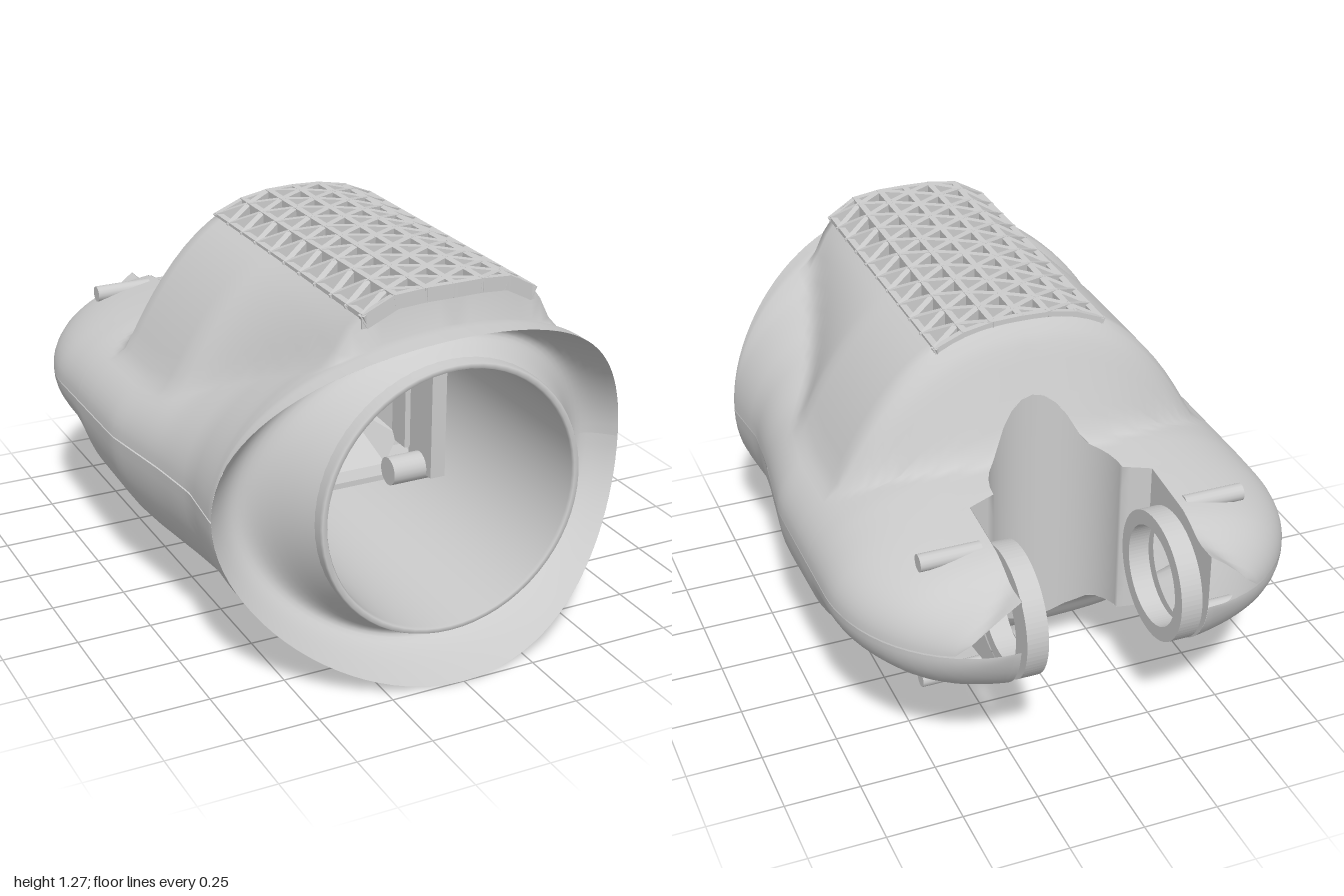
import * as THREE from 'three';
import { mergeGeometries, mergeVertices } from 'three/addons/utils/BufferGeometryUtils.js';

const MID = 0.58;
const mat = new THREE.MeshStandardMaterial({ color: 0xcccccc, side: THREE.DoubleSide });

// Piecewise-linear lookup through [z, value] pairs
function table(pairs, z) {
  if (z <= pairs[0][0]) return pairs[0][1];
  for (let i = 1; i < pairs.length; i++) {
    const [a, va] = pairs[i - 1], [b, vb] = pairs[i];
    if (z <= b) return va + (vb - va) * (z - a) / (b - a);
  }
  return pairs[pairs.length - 1][1];
}
const arc = (v) => Math.sqrt(Math.max(0, 1 - v * v));
const smax = (a, b, k) => Math.max(a, b) + Math.max(k - Math.abs(a - b), 0) ** 2 / (4 * k);

// Half width, slot edge, heights above and below the seam, along the length
const width = (z) => z < -0.5 ? 0.31 + 0.455 * arc((z + 0.5) / 0.5)
  : table([[-0.5, 0.765], [0, 0.765], [0.3, 0.72], [0.5, 0.7], [0.7, 0.72]], z);
const slot = (z) => z > -0.33 ? 0 : z >= -0.55 ? 0.22 * arc((z + 0.55) / 0.22)
  : table([[-0.58, 0.31], [-0.55, 0.22]], z);
const tip = (z) => z < -0.75 ? arc((z + 0.75) / 0.25) : 1;
const HIGH = [[-0.75, 0.25], [-0.4, 0.285], [0, 0.29], [0.3, 0.35], [0.6, 0.47], [0.8, 0.55], [0.9, 0.57]];
const LOW = [[-0.75, 0.25], [-0.42, 0.3], [-0.36, 0.36], [-0.3, 0.455], [1, 0.58]];
const BACK = [[-0.42, 0.43], [-0.38, 0.36], [-0.33, 0.23], [-0.27, 0.07], [-0.22, 0]];
const rimZ = (x) => 1 - 0.28 * (x / 0.72) ** 2;

// Height of the upper or lower skin at a place
function skinY(x, z, upper) {
  const n = table([[0.1, 3], [0.8, 2]], z);
  const swell = Math.sqrt(Math.max(0, 1 - Math.min(1, Math.abs(x) / width(z)) ** n)) * tip(z);
  if (!upper) return MID - 0.003 - (table(LOW, z) - 0.003) * swell;
  const y = MID + 0.003 + (table(HIGH, z) - 0.003) * swell;
  if (z > 0.872) return y;
  const p = table([[0.2, 2.6], [0.87, 4.5]], z);
  return smax(y, 1.27 - 0.06 * (Math.abs(x) / 0.28) ** p - table(BACK, z), 0.03);
}
// Skin point; the front end is swept along the curved rim
function skin(x, z, upper) {
  const zz = z < 0.7 ? z : 0.7 + (z - 0.7) / 0.3 * (rimZ(x) - 0.7);
  return new THREE.Vector3(x, skinY(x, z, upper), zz);
}

// Surface from a grid of points, with optional left-out cells
function grid(nu, nv, fn, flip = false, skip = () => false) {
  const pos = [], idx = [];
  for (let j = 0; j <= nv; j++) for (let i = 0; i <= nu; i++) pos.push(...fn(i, j).toArray());
  for (let j = 0; j < nv; j++) for (let i = 0; i < nu; i++) {
    if (skip(i, j)) continue;
    const a = j * (nu + 1) + i, b = a + 1, c = a + nu + 1, d = c + 1;
    idx.push(...(flip ? [a, b, c, b, d, c] : [a, c, b, b, c, d]));
  }
  const g = new THREE.BufferGeometry();
  g.setAttribute('position', new THREE.Float32BufferAttribute(pos, 3));
  g.setIndex(idx);
  g.computeVertexNormals();
  return g;
}

// Rows along the body, close together at the arm tips and the slot end
function bodyRows() {
  const rows = [];
  const add = (a, b, n, ease = (t) => t) => {
    for (let k = 0; k < n; k++) rows.push(a + (b - a) * ease(k / n));
  };
  add(-1, -0.8, 9, (t) => 1 - Math.cos(t * Math.PI / 2));
  add(-0.8, -0.58, 5);
  add(-0.58, -0.55, 1);
  add(-0.55, -0.33, 9, (t) => Math.sin(t * Math.PI / 2));
  add(-0.33, -0.22, 6);
  add(-0.22, 0.87, 24);
  add(0.87, 0.885, 1);
  add(0.885, 1, 5);
  rows.push(1);
  return rows;
}

function shell(upper) {
  const rows = bodyRows(), inner = 6, outer = 18;
  const halves = [1, -1].map((s) => grid(inner + outer, rows.length - 1, (i, j) => {
    const z = rows[j], w = width(z), xi = Math.min(slot(z), w);
    const split = Math.min(Math.max(0.28, xi + 0.02), w);
    const x = i <= inner ? xi + (split - xi) * i / inner
      : split + (w - split) * Math.sin((i - inner) / outer * Math.PI / 2);
    const p = skin(x, z, upper);
    p.x *= s;
    return p;
  }, (s > 0) !== upper, (i, j) => upper && i < inner && rows[j] > -0.221 && rows[j] < 0.86));
  const g = mergeGeometries(halves);
  g.deleteAttribute('normal');
  const merged = mergeVertices(g, 1e-5);
  merged.computeVertexNormals();
  return merged;
}

// Triangular lattice of bars following the top of the hump
function lattice() {
  const bars = [], dx = 0.56 / 6, dz = 1.09 / 10;
  const node = (i, j) => skin(-0.28 + i * dx,
    THREE.MathUtils.clamp(-0.22 + (j + (i % 2) / 2) * dz, -0.22, 0.87), true);
  const bar = (a, b) => {
    const len = a.distanceTo(b);
    if (len < 0.01) return;
    const g = new THREE.BoxGeometry(0.022, 0.045, len + 0.012);
    const o = new THREE.Object3D();
    o.position.copy(a).add(b).multiplyScalar(0.5);
    o.lookAt(b);
    o.position.y -= 0.02;
    o.updateMatrix();
    bars.push(g.applyMatrix4(o.matrix));
  };
  for (let i = 0; i <= 6; i++) for (let j = -1; j <= 10; j++) {
    bar(node(i, j), node(i, j + 1));
    if (i === 6) continue;
    bar(node(i, j), node(i + 1, j));
    bar(node(i, j), node(i + 1, i % 2 ? j + 1 : j - 1));
  }
  return mergeGeometries(bars);
}

export function createModel() {
  const model = new THREE.Group();
  const add = (name, geo, parent = model, x = 0, y = 0, z = 0) => {
    const m = new THREE.Mesh(geo, mat);
    m.name = name;
    m.position.set(x, y, z);
    parent.add(m);
    return m;
  };
  add('upperShell', shell(true));
  add('lowerShell', shell(false));
  add('topLattice', lattice());

  // Concave collar from the rim to the mouth
  add('collarDish', grid(96, 14, (i, j) => {
    const a = i / 96 * Math.PI * 2, t = j / 14, c = Math.cos(a), s = Math.sin(a);
    const ry = s > 0 ? 0.57 : 0.58;
    return new THREE.Vector3(c * (0.72 + (0.45 - 0.72) * t), MID + s * (ry + (0.45 - ry) * t),
      rimZ(0.72 * c) * (1 - t) + 0.87 * t - 0.14 * Math.sin(Math.PI * t));
  }, true));
  const tube = [[0.455, 0.74], [0.45, 0.9], [0.445, 0.91], [0.43, 0.91], [0.425, 0.9], [0.425, -0.25]];
  add('mouthTube', new THREE.LatheGeometry(tube.map((p) => new THREE.Vector2(...p)), 64), model, 0, MID, 0)
    .rotation.x = Math.PI / 2;

  for (const s of [1, -1]) {
    const side = new THREE.Group();
    side.name = s > 0 ? 'leftArm' : 'rightArm';
    model.add(side);

    // Curved wall at the end of the slot
    add('slotWall', grid(6, 24, (i, j) => {
      const z = j < 4 ? -0.58 + 0.03 * j / 4 : -0.55 + 0.22 * Math.sin((j - 4) / 20 * Math.PI / 2);
      const x = slot(z), lo = skinY(x, z, false), hi = skinY(x, z, true);
      return new THREE.Vector3(s * x, lo + (hi - lo) * i / 6, z);
    }, s > 0), side);

    // Inner face of the arm, with a round opening
    const edge = [];
    for (let k = 0; k <= 20; k++) {
      const z = -0.58 - 0.42 * Math.sin(k / 20 * Math.PI / 2);
      edge.push([z, skinY(0.309, z, true) - MID, skinY(0.309, z, false) - MID]);
    }
    const face = new THREE.Shape([
      ...edge.map((e) => new THREE.Vector2(-e[0], e[1])),
      ...edge.reverse().map((e) => new THREE.Vector2(-e[0], e[2])),
    ]);
    const hole = (r) => new THREE.Path().absarc(0.785, 0, r, 0, Math.PI * 2, true);
    face.holes.push(hole(0.17));
    add('armFace', new THREE.ShapeGeometry(face, 40), side, s * 0.309, MID, 0).rotation.y = Math.PI / 2;

    // Bearing ring standing in from the arm
    const ring = new THREE.Shape().absarc(0.785, 0, 0.213, 0, Math.PI * 2, false);
    ring.holes.push(hole(0.165));
    add('bearingRing', new THREE.ExtrudeGeometry(ring, { depth: 0.07, bevelEnabled: false, curveSegments: 40 }),
      side, s > 0 ? 0.22 : -0.29, MID, 0).rotation.y = Math.PI / 2;

    // Small pins set in the arm skin
    for (const v of [1, -1]) {
      add('armPin', new THREE.CylinderGeometry(0.028, 0.028, 0.2, 16), side, s * 0.44, MID + v * 0.215, -0.745)
        .rotation.z = Math.PI / 2;
    }
  }

  // Holder inside the mouth
  const holder = new THREE.Group();
  holder.name = 'innerHolder';
  model.add(holder);
  for (const s of [1, -1]) {
    add('holderBar', new THREE.BoxGeometry(0.055, 0.5, 0.16), holder, s * 0.3, MID, 0.2);
    add('holderSide', new THREE.BoxGeometry(0.02, 0.34, 0.3), holder, s * 0.24, MID, 0.02);
    for (const v of [1, -1]) {
      add('holderKnob', new THREE.CylinderGeometry(0.05, 0.05, 0.18, 20), holder, s * 0.24, MID + v * 0.23, 0.2)
        .rotation.z = Math.PI / 2;
    }
  }
  for (const v of [1, -1]) add('holderRail', new THREE.BoxGeometry(0.66, 0.02, 0.2), holder, 0, MID + v * 0.27, 0.06);
  // Tapered funnel with chamfered corners, closed at the back
  const corners = [[1, 0.6], [0.8, 1], [-0.8, 1], [-1, 0.6], [-1, -0.6], [-0.8, -1], [0.8, -1], [1, -0.6]];
  const funnel = [[0.24, 0.25, 0.1], [0.15, 0.08, -0.1], [0.15, 0.08, -0.2], [0, 0, -0.2]];
  const fg = grid(8, 3, (i, j) => {
    const [cx, cy] = corners[i % 8], [w, h, z] = funnel[j];
    return new THREE.Vector3(cx * w, MID + cy * h, z);
  }, true).toNonIndexed();
  fg.computeVertexNormals();
  add('holderFunnel', fg, holder);
  return model;
}
